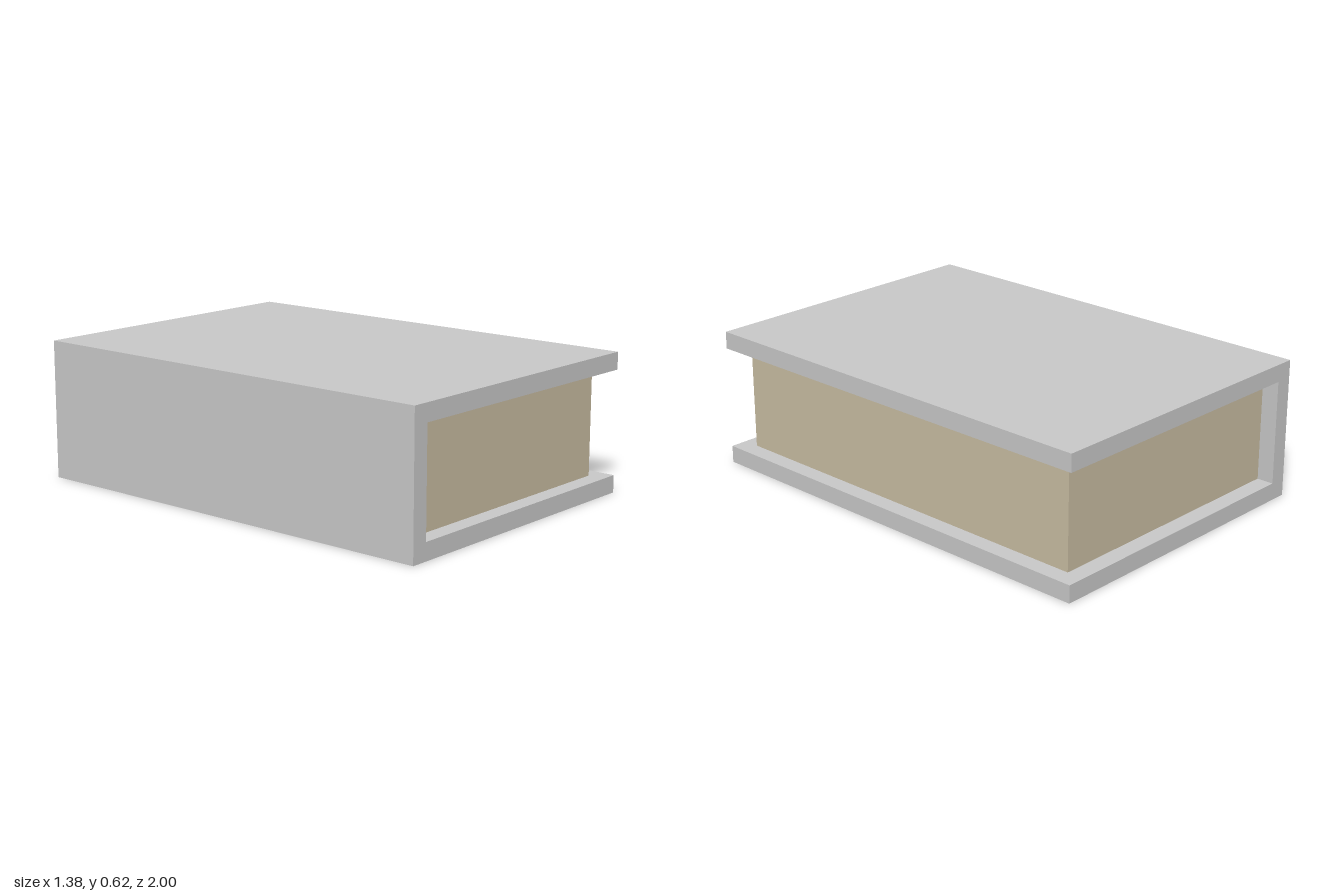
import * as THREE from 'three';

const W = 0.692, H = 0.615, T = 0.077, LENGTH = 2; // half width, height, board thickness, length

export function createModel() {
  const book = new THREE.Group();
  book.name = 'book';

  const coverGrey = new THREE.MeshStandardMaterial({ color: 0xc9c9c9 });
  coverGrey.name = 'coverGrey';
  const paperTan = new THREE.MeshStandardMaterial({ color: 0xc9bda2 });
  paperTan.name = 'paperTan';

  // Cover: two boards and the spine as one C-shaped section, open towards +x
  const section = new THREE.Shape([
    [-W, 0], [W, 0], [W, T], [-W + T, T],
    [-W + T, H - T], [W, H - T], [W, H], [-W, H],
  ].map(([x, y]) => new THREE.Vector2(x, y)));
  const coverGeometry = new THREE.ExtrudeGeometry(section, { depth: LENGTH, bevelEnabled: false });
  coverGeometry.translate(0, 0, -LENGTH / 2);
  const cover = new THREE.Mesh(coverGeometry, coverGrey);
  cover.name = 'cover';

  // Page block, set in from the three open edges and resting against the spine
  const pages = new THREE.Mesh(
    new THREE.BoxGeometry(2 * (W - T), H - 2 * T, LENGTH - 2 * T),
    paperTan,
  );
  pages.name = 'pages';
  pages.position.y = H / 2;

  book.add(cover, pages);
  return book;
}
